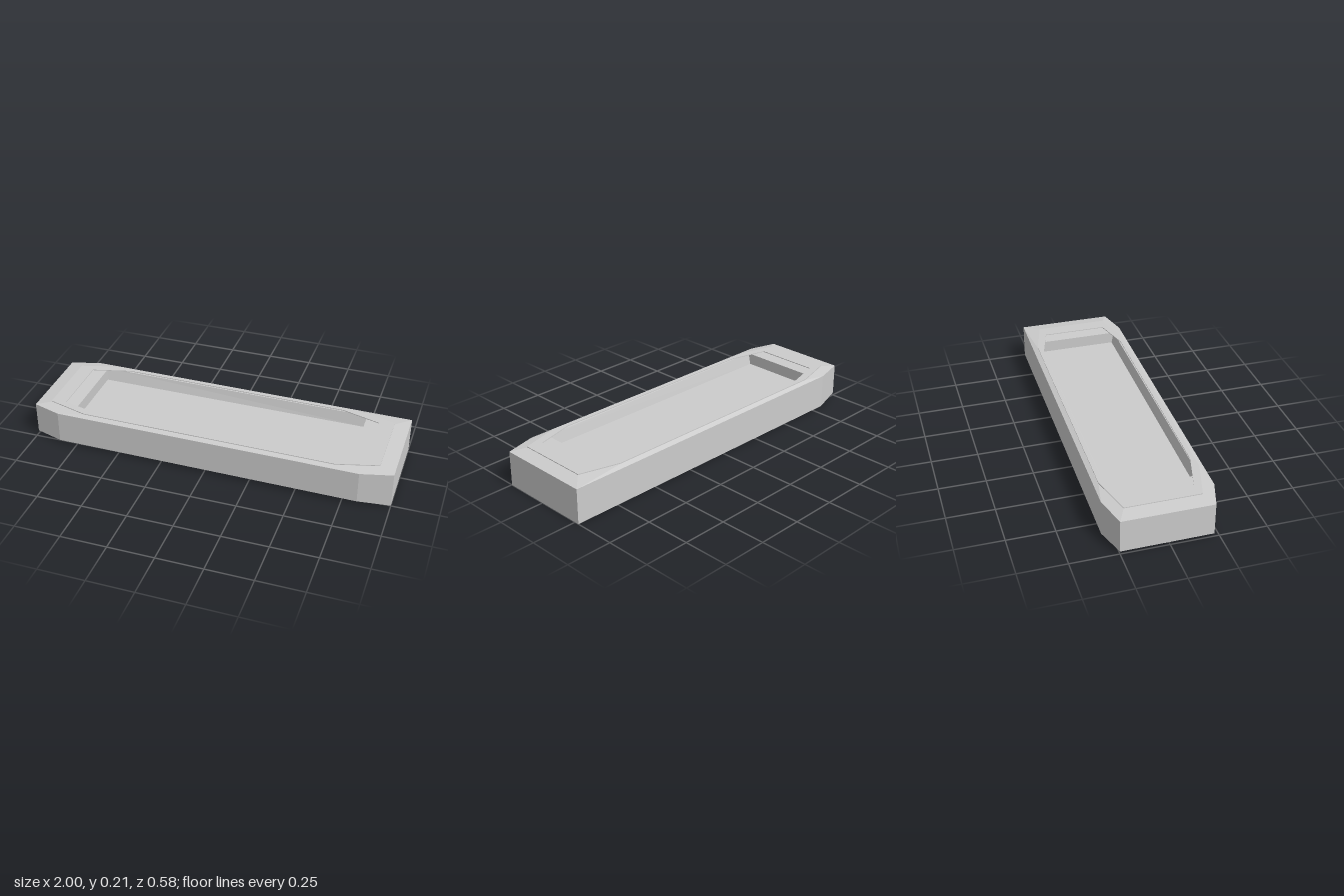
import * as THREE from 'three';

// Outlines in [x, z], clockwise from above starting at the back left corner
const OUTER = [[-1, -0.25], [-0.83, -0.295], [1, -0.275], [1, -0.275], [1, 0.248], [0.83, 0.29], [-0.845, 0.272], [-1, 0.224]];
const LIP_OUT = [[-0.92, -0.21], [-0.7, -0.27], [0.7, -0.252], [0.92, -0.19], [0.92, 0.205], [0.7, 0.265], [-0.7, 0.248], [-0.92, 0.185]];
const LIP_IN = [[-0.84, -0.19], [-0.63, -0.245], [0.63, -0.232], [0.84, -0.17], [0.84, 0.185], [0.63, 0.24], [-0.63, 0.225], [-0.84, 0.168]];
const RIM = [[-0.765, -0.242], [-0.765, -0.242], [0.765, -0.228], [0.765, -0.228], [0.765, 0.235], [0.765, 0.235], [-0.765, 0.222], [-0.765, 0.222]];
const FLOOR = [[-0.765, -0.222], [-0.765, -0.222], [0.765, -0.212], [0.765, -0.212], [0.765, 0.222], [0.765, 0.222], [-0.765, 0.207], [-0.765, 0.207]];

// Height per corner of the slightly lifted underside
const UNDERSIDE = [0.015, 0, 0, 0, 0, 0.017, 0.017, 0.017];

const loop = (outline, y) => outline.map(([x, z], i) => [x, Array.isArray(y) ? y[i] : y, z]);

// Joins successive loops with bands; optional caps, or closes back to the first loop
function loft(loops, closed) {
  const pos = [];
  const tri = (...pts) => pts.forEach((p) => pos.push(...p));
  const n = loops[0].length;
  const bands = closed ? loops.length : loops.length - 1;
  for (let k = 0; k < bands; k++) {
    const a = loops[k], b = loops[(k + 1) % loops.length];
    for (let i = 0; i < n; i++) {
      const j = (i + 1) % n;
      tri(a[i], b[i], b[j]);
      tri(a[i], b[j], a[j]);
    }
  }
  if (!closed) {
    const first = loops[0], last = loops[loops.length - 1];
    for (let i = 1; i < n - 1; i++) {
      tri(first[0], first[i], first[i + 1]);
      tri(last[0], last[i + 1], last[i]);
    }
  }
  const geo = new THREE.BufferGeometry();
  geo.setAttribute('position', new THREE.Float32BufferAttribute(pos, 3));
  geo.computeVertexNormals();
  return geo;
}

export function createModel() {
  const group = new THREE.Group();
  group.name = 'tray';
  const grey = new THREE.MeshStandardMaterial({ color: 0xcccccc });
  grey.name = 'light grey';

  // Block with a sloped shoulder and a sunken pocket
  const body = new THREE.Mesh(loft([
    loop(OUTER, UNDERSIDE),
    loop(OUTER, 0.192),
    loop(LIP_OUT, 0.202),
    loop(RIM, 0.2),
    loop(FLOOR, 0.135),
  ], false), grey);
  body.name = 'trayBody';
  group.add(body);

  // Thin raised lip around the pocket
  const lip = new THREE.Mesh(loft([
    loop(LIP_OUT, 0.203),
    loop(LIP_OUT, 0.207),
    loop(LIP_IN, 0.207),
    loop(LIP_IN, 0.203),
  ], true), grey);
  lip.name = 'pocketLip';
  group.add(lip);

  return group;
}
